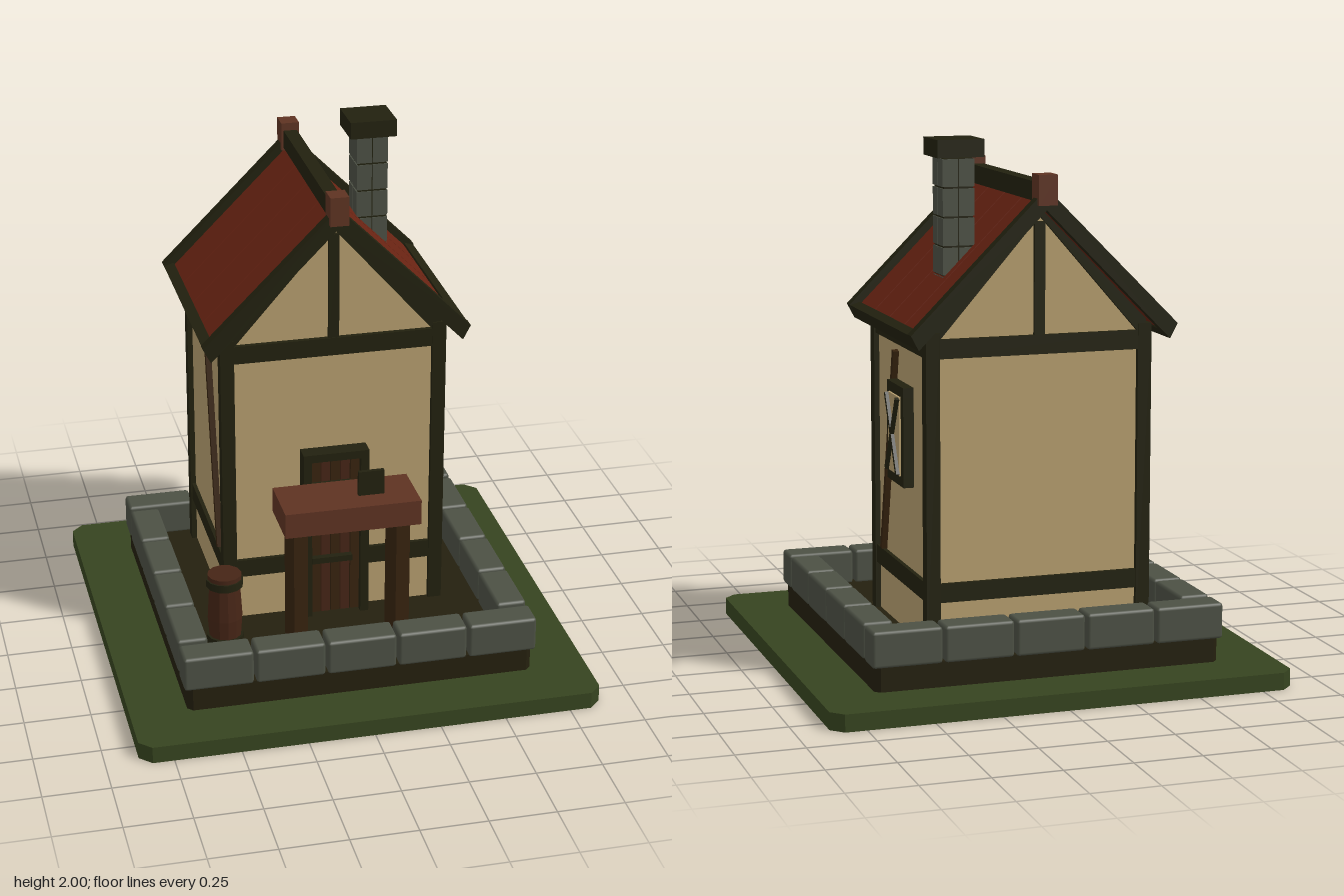
import * as THREE from 'three';
import { RoundedBoxGeometry } from 'three/addons/geometries/RoundedBoxGeometry.js';

const mat = (name, color) => {
  const m = new THREE.MeshStandardMaterial({ color });
  m.name = name;
  return m;
};

export function createModel() {
  const grass = mat('grass', 0x36441f), soil = mat('soil', 0x241f0e), stone = mat('stone', 0x4c5044);
  const timber = mat('darkTimber', 0x22210f), plaster = mat('plaster', 0xb59d6e), red = mat('redRoof', 0x692312);
  const clay = mat('clayWood', 0x5e3322), brown = mat('brownWood', 0x37230f), plank = mat('plankWood', 0x462516);

  const model = new THREE.Group();
  const group = (name) => {
    const g = new THREE.Group();
    g.name = name;
    model.add(g);
    return g;
  };
  const add = (parent, name, geo, material, x = 0, y = 0, z = 0) => {
    const m = new THREE.Mesh(geo, material);
    m.name = name;
    m.position.set(x, y, z);
    parent.add(m);
    return m;
  };
  // Box given by its limits on each axis
  const box = (parent, name, material, x0, x1, y0, y1, z0, z1) =>
    add(parent, name, new THREE.BoxGeometry(x1 - x0, y1 - y0, z1 - z0), material,
      (x0 + x1) / 2, (y0 + y1) / 2, (z0 + z1) / 2);
  // Polygon in the xy plane, extruded from z0 to z1
  const prism = (parent, name, material, pts, z0, z1) => {
    const shape = new THREE.Shape(pts.map(([x, y]) => new THREE.Vector2(x, y)));
    return add(parent, name, new THREE.ExtrudeGeometry(shape, { depth: z1 - z0, bevelEnabled: false }), material, 0, 0, z0);
  };
  // Square slab with cut corners
  const slab = (name, material, r, c, y0, y1) => {
    const m = prism(model, name, material, [[-r + c, -r], [r - c, -r], [r, -r + c], [r, r - c],
      [r - c, r], [-r + c, r], [-r, r - c], [-r, -r + c]], 0, y1 - y0);
    m.rotation.x = -Math.PI / 2;
    m.position.y = y0;
  };

  // Ground and raised yard
  slab('ground', grass, 0.875, 0.045, 0, 0.065);
  slab('yard', soil, 0.66, 0.02, 0.065, 0.16);

  // Stone kerb: five blocks front and back, four on each side
  const kerb = group('stoneKerb');
  for (const s of [-1, 1]) {
    for (let i = -2; i <= 2; i++)
      add(kerb, 'kerbStone', new RoundedBoxGeometry(0.262, 0.135, 0.115, 1, 0.012), stone, i * 0.271, 0.2225, s * 0.615);
    for (let i = -1.5; i <= 1.5; i++)
      add(kerb, 'kerbStone', new RoundedBoxGeometry(0.115, 0.135, 0.258, 1, 0.012), stone, s * 0.615, 0.2225, i * 0.27);
  }

  // Plaster body with gables
  const F = 0.2, B = -0.535;
  prism(model, 'plasterWalls', plaster,
    [[-0.41, 0.16], [0.41, 0.16], [0.41, 1.345], [0, 1.755], [-0.41, 1.345]], B + 0.02, F - 0.02);

  // Timber frame
  const frame = group('timberFrame');
  for (const s of [-1, 1]) {
    const [x0, x1] = s > 0 ? [0.378, 0.43] : [-0.43, -0.378];
    box(frame, 'cornerPost', timber, x0, x1, 0.16, 1.33, F - 0.05, F);
    box(frame, 'cornerPost', timber, x0, x1, 0.16, 1.33, B, B + 0.05);
    const [a, b] = s > 0 ? [0.39, 0.425] : [-0.425, -0.39];
    for (const [y0, y1] of [[0.34, 0.41], [1.235, 1.305]])
      box(frame, 'sideBeam', timber, a, b, y0, y1, B + 0.05, F - 0.05);
    // Leaning brace
    const dz = -0.18, dy = 0.79;
    const brace = add(frame, 'brace', new THREE.BoxGeometry(0.025, Math.hypot(dz, dy), 0.024), brown, s * 0.419, 0.81, -0.02);
    brace.rotation.x = Math.atan2(dz, dy);
  }
  for (const [z0, z1] of [[F - 0.035, F - 0.005], [B + 0.005, B + 0.035]]) {
    box(frame, 'lowerBeam', timber, -0.38, 0.38, 0.34, 0.41, z0, z1);
    box(frame, 'gableBeam', timber, -0.43, 0.43, 1.235, 1.305, z0 - 0.003, z1 + 0.003);
    box(frame, 'gablePost', timber, -0.02, 0.02, 1.305, 1.715, z0, z1);
    for (const s of [-1, 1])
      prism(frame, 'gableRafter', timber,
        [[s * 0.375, 1.305], [s * 0.41, 1.305], [s * 0.41, 1.345], [0, 1.765], [0, 1.735]], z0, z1);
  }

  // Roof: four slabs a side, barge boards, eaves and ridge
  const roof = group('roof');
  for (const s of [-1, 1]) {
    for (let i = 0; i < 4; i++) {
      const z0 = -0.558 + i * 0.1965;
      prism(roof, 'roofSlab', red, [[0, 1.8], [s * 0.475, 1.325], [s * 0.46, 1.305], [0, 1.765]], z0, z0 + 0.189);
    }
    for (const z0 of [0.222, -0.603])
      prism(roof, 'bargeBoard', timber, [[0, 1.84], [s * 0.505, 1.335], [s * 0.476, 1.28], [0, 1.762]], z0, z0 + 0.043);
    prism(roof, 'eaveBeam', timber, [[s * 0.465, 1.345], [s * 0.503, 1.333], [s * 0.476, 1.28], [s * 0.445, 1.312]], -0.57, 0.23);
  }
  box(roof, 'ridgeBeam', timber, -0.026, 0.026, 1.79, 1.86, -0.57, 0.235);
  for (const z of [0.247, -0.58]) box(roof, 'ridgeEnd', clay, -0.035, 0.035, 1.78, 1.89, z - 0.038, z + 0.038);

  // Chimney of stone courses
  const chimney = group('chimney');
  box(chimney, 'mortarCore', timber, 0.187, 0.297, 1.4, 1.93, -0.325, -0.207);
  for (let i = 0; i < 5; i++)
    for (const x of [0.211, 0.273])
      for (const z of [-0.298, -0.234])
        add(chimney, 'chimneyStone', new THREE.BoxGeometry(0.058, 0.1, 0.06), stone, x, 1.45 + i * 0.107, z);
  box(chimney, 'chimneyCap', timber, 0.152, 0.33, 1.935, 2, -0.355, -0.18);

  // Door with planks, hinges and handle
  const door = group('door');
  box(door, 'doorBacking', timber, -0.1, 0.1, 0.16, 0.82, F - 0.02, F + 0.01);
  for (const s of [-1, 1]) box(door, 'doorJamb', timber, s * 0.111 - 0.016, s * 0.111 + 0.016, 0.16, 0.852, F - 0.02, F + 0.045);
  box(door, 'doorLintel', timber, -0.127, 0.127, 0.82, 0.852, F - 0.02, F + 0.045);
  for (let i = 0; i < 5; i++)
    box(door, 'doorPlank', i % 2 ? plank : brown, -0.094 + i * 0.038, -0.06 + i * 0.038, 0.17, 0.818, F, F + 0.03);
  for (const y of [0.405, 0.72]) box(door, 'hinge', timber, -0.095, 0.06, y - 0.012, y + 0.012, F + 0.03, F + 0.055);
  box(door, 'doorHandle', timber, 0.055, 0.075, 0.535, 0.585, F + 0.03, F + 0.076);

  // Window on the left wall
  const win = group('window');
  for (const y of [0.725, 1.06]) box(win, 'windowRail', timber, 0.4, 0.45, y, y + 0.037, -0.31, -0.095);
  for (const z of [-0.31, -0.128]) box(win, 'windowStile', timber, 0.4, 0.45, 0.725, 1.097, z, z + 0.033);
  box(win, 'windowPane', plaster, 0.449, 0.457, 0.764, 1.058, -0.277, -0.128);
  for (const s of [-1, 1]) {
    const bar = add(win, 'crossBar', new THREE.BoxGeometry(0.014, 0.32, 0.016), timber, 0.463, 0.911, -0.2025);
    bar.rotation.x = s * Math.atan2(0.149, 0.294);
  }

  // Market counter
  const counter = group('counter');
  box(counter, 'counterTop', clay, -0.26, 0.255, 0.668, 0.766, 0.305, 0.53);
  for (const x of [-0.197, 0.193]) box(counter, 'counterLeg', brown, x - 0.026, x + 0.026, 0.16, 0.668, 0.34, 0.505);
  box(counter, 'counterSign', timber, 0.037, 0.135, 0.766, 0.863, 0.425, 0.441);

  // Barrel with hoops
  const barrel = group('barrel');
  barrel.position.set(-0.475, 0, 0.447);
  const profile = [[0, 0.16], [0.054, 0.16], [0.066, 0.33], [0.056, 0.5], [0, 0.505]].map(([r, y]) => new THREE.Vector2(r, y));
  const lathe = new THREE.LatheGeometry(profile, 12).toNonIndexed();
  lathe.computeVertexNormals();
  add(barrel, 'barrelBody', lathe, plank);
  for (const y of [0.24, 0.475]) add(barrel, 'barrelHoop', new THREE.CylinderGeometry(0.07, 0.07, 0.03, 12), timber, 0, y, 0);
  add(barrel, 'barrelLid', new THREE.CylinderGeometry(0.064, 0.064, 0.02, 12), plank, 0, 0.497, 0);

  return model;
}
